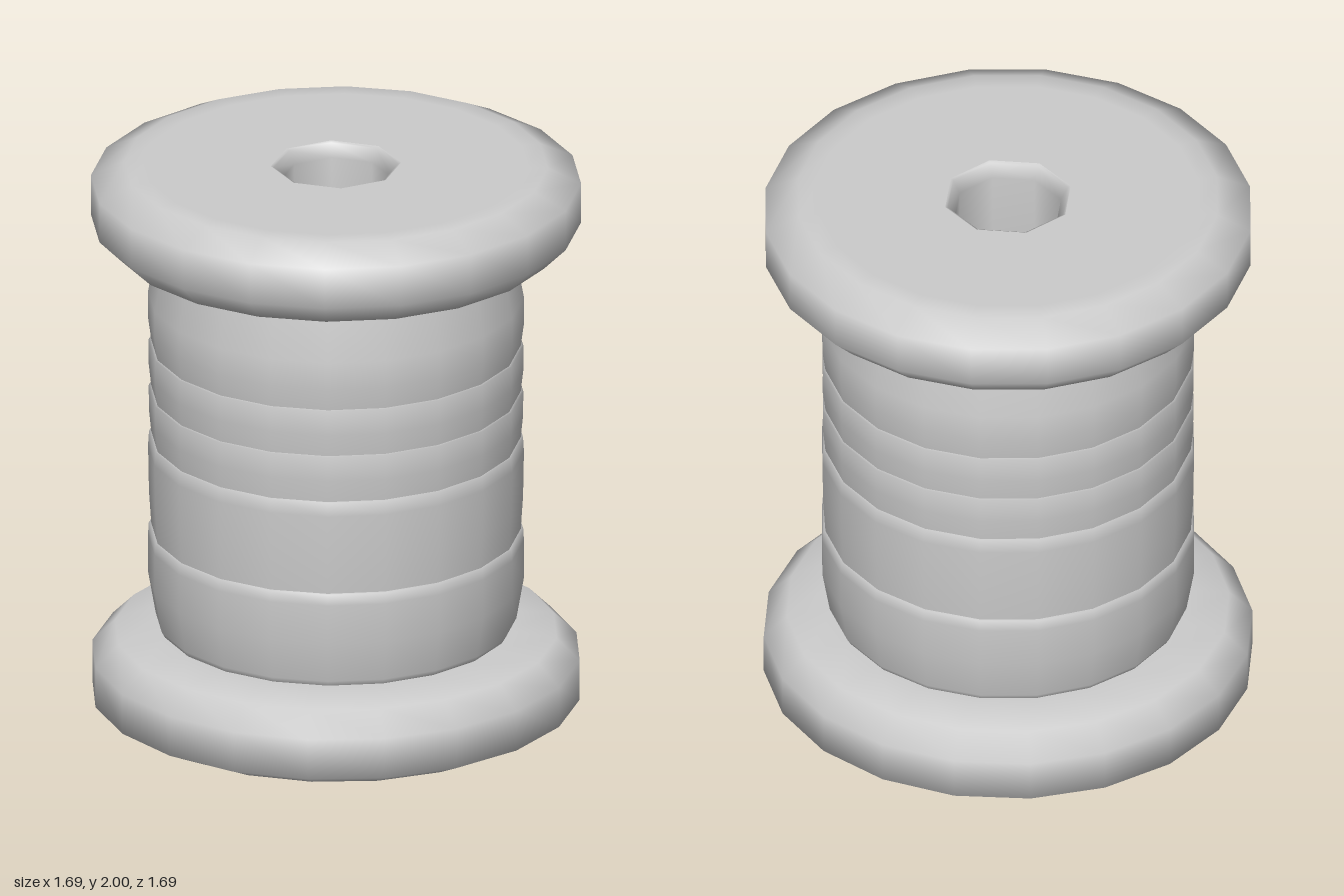
import * as THREE from 'three';

const SIDES = 20;
const HOLE_SIDES = 8;
const PHASE = 0.035;
const HOLE_PHASE = 0.157;

export function createModel() {
  const group = new THREE.Group();
  group.name = 'threadSpool';
  const grey = new THREE.MeshStandardMaterial({ color: 0xcccccc });
  grey.name = 'light grey';

  const add = (parent, name, geometry) => {
    const mesh = new THREE.Mesh(geometry, grey);
    mesh.name = name;
    parent.add(mesh);
  };
  const lathe = (points, sides = SIDES, phase = PHASE) =>
    new THREE.LatheGeometry(points.map(([r, y]) => new THREE.Vector2(r, y)), sides, phase);
  const ring = (r, sides, phase) => Array.from({ length: sides }, (_, i) => {
    const a = phase + (i / sides) * Math.PI * 2;
    return new THREE.Vector2(r * Math.sin(a), -r * Math.cos(a));
  });

  // Flange with rounded rim and an eight-sided recess, centred on the spool's middle
  const makeFlange = (name) => {
    const flange = new THREE.Group();
    flange.name = name;
    add(flange, 'rim', lathe([
      [0.19, 0.70], [0.6, 0.70], [0.765, 0.72], [0.845, 0.80],
      [0.845, 0.945], [0.73, 1.0], [0.66, 1.0],
    ]));
    const face = new THREE.Shape(ring(0.66, SIDES, PHASE));
    face.holes.push(new THREE.Path(ring(0.225, HOLE_SIDES, HOLE_PHASE)));
    add(flange, 'face', new THREE.ShapeGeometry(face).rotateX(-Math.PI / 2).translate(0, 1, 0));
    add(flange, 'holeWall', lathe(
      [[0.225, 1.0], [0.215, 0.995], [0.19, 0.95], [0.19, 0.69]], HOLE_SIDES, HOLE_PHASE));
    flange.position.y = 1;
    group.add(flange);
    return flange;
  };
  makeFlange('topFlange');
  makeFlange('bottomFlange').rotation.x = Math.PI;

  // Wound thread: overlapping bands, each tucked in at its lower edge
  const bands = [
    [[0.61, 0.31], [0.622, 0.33], [0.648, 0.48], [0.648, 0.62], [0.646, 0.66], [0.63, 0.662]],
    [[0.637, 0.66], [0.645, 0.78], [0.648, 0.95], [0.645, 1.0], [0.63, 1.002]],
    [[0.637, 1.0], [0.645, 1.08], [0.646, 1.17], [0.63, 1.172]],
    [[0.637, 1.17], [0.646, 1.25], [0.646, 1.34], [0.63, 1.342]],
    [[0.637, 1.34], [0.648, 1.42], [0.648, 1.52], [0.615, 1.70]],
  ];
  bands.forEach((points, i) => add(group, `threadBand${i + 1}`, lathe(points)));

  // Core discs closing both ends of the thread; they form the recess floors
  add(group, 'coreTop', lathe([[0.61, 1.698], [0, 1.698]]));
  add(group, 'coreBottom', lathe([[0, 0.31], [0.61, 0.31]]));

  return group;
}
